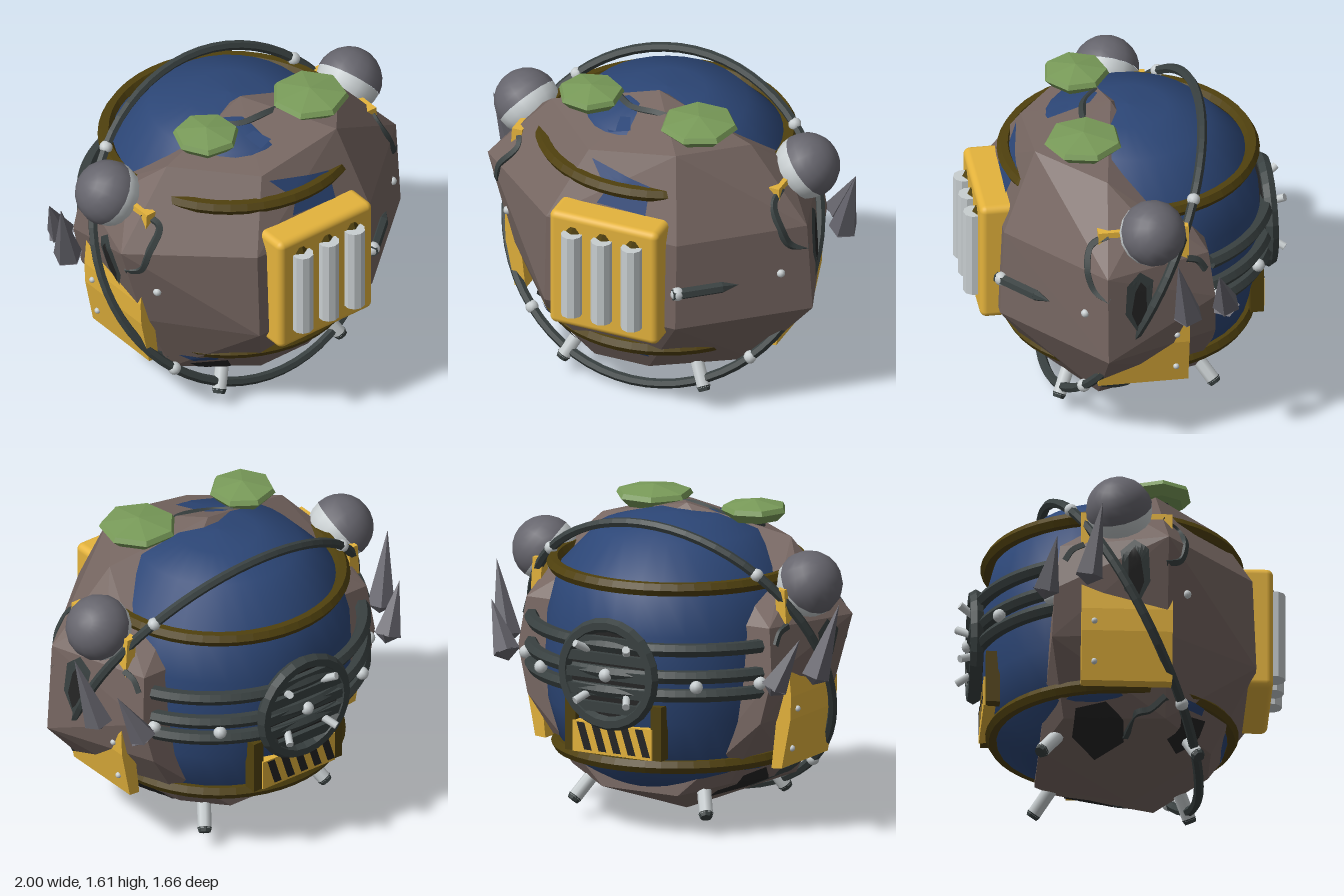
import * as THREE from 'three';
import { RoundedBoxGeometry } from 'three/addons/geometries/RoundedBoxGeometry.js';
import { ConvexGeometry } from 'three/addons/geometries/ConvexGeometry.js';

const paint = (name, color, extra = {}) => {
  const m = new THREE.MeshStandardMaterial({ color, ...extra });
  m.name = name;
  return m;
};
const V = (x, y, z) => new THREE.Vector3(x, y, z);

export function createModel() {
  const root = new THREE.Group();
  root.name = 'rockPod';
  const rock = paint('rock brown', 0x766661, { flatShading: true });
  const blue = paint('hull blue', 0x2c4676, { side: THREE.DoubleSide });
  const yellow = paint('panel yellow', 0xe4b33c);
  const ochre = paint('dark ochre', 0x50410e, { flatShading: true });
  const iron = paint('dark iron', 0x394141, { flatShading: true, side: THREE.DoubleSide });
  const white = paint('pale metal', 0xc8ced0);
  const grey = paint('dome grey', 0x66656d);
  const green = paint('cap green', 0x799b59, { flatShading: true });
  const black = paint('black', 0x252525, { side: THREE.DoubleSide });

  const add = (name, geo, mat, x = 0, y = 0, z = 0, parent = root) => {
    const m = new THREE.Mesh(geo, mat);
    m.name = name;
    m.position.set(x, y, z);
    parent.add(m);
    return m;
  };
  // Points a mesh's local +y along a direction
  const aim = (m, dir) => m.quaternion.setFromUnitVectors(V(0, 1, 0), dir.clone().normalize());
  const ball = (name, x, y, z, r = 0.03) => add(name, new THREE.SphereGeometry(r, 10, 8), white, x, y, z);
  const faceted = geo => {
    const g = geo.toNonIndexed();
    g.computeVertexNormals();
    return g;
  };

  // Blue inner body
  const profile = [[0, 0.16], [0.35, 0.19], [0.58, 0.33], [0.655, 0.6], [0.67, 0.83], [0.66, 1.05],
    [0.6, 1.28], [0.41, 1.48], [0.2, 1.54], [0, 1.555]].map(p => new THREE.Vector2(...p));
  add('innerBody', new THREE.LatheGeometry(profile, 32), blue, 0, 0, -0.04);

  // Faceted rock covering the front, sides and underside, slimmer low on its right
  const corners = [V(0, 1.58, 0.05), V(0, 0, 0.05),
    V(0.91, 0.6, 0.2), V(-0.74, 0.6, 0.2), V(0.58, 0.22, 0.2), V(-0.55, 0.22, 0.2),
    V(0.28, 1.5, 0.48), V(-0.2, 1.42, 0.48), V(0.12, 0.2, 0.45), V(-0.18, 0.2, 0.45)];
  for (const s of [1, -1]) {
    corners.push(
      V(s * 0.55, 1.45, 0.15), V(s * 0.68, 1.3, 0),
      V(s * 0.36, 1.08, 0.65), V(s * 0.88, 1.08, 0.2), V(s * 0.71, 1.09, -0.34), V(s * 0.74, 0.84, -0.37),
      V(s * 0.36, 0.6, 0.67), V(s * 0.68, 0.6, -0.38), V(s * 0.46, 0.25, -0.31), V(s * 0.22, 0.18, -0.42));
  }
  const shell = add('rockShell', new ConvexGeometry(corners), rock);

  // Drops a 2D point onto the rock from one side
  const caster = new THREE.Raycaster();
  const aims = {
    front: (a, b) => [V(a, b, 3), V(0, 0, -1)], top: (a, b) => [V(a, 3, b), V(0, -1, 0)],
    left: (a, b) => [V(3, b, a), V(-1, 0, 0)], right: (a, b) => [V(-3, b, a), V(1, 0, 0)],
  };
  const project = (side, [a, b], lift) => {
    caster.set(...aims[side](a, b));
    const hit = caster.intersectObject(shell)[0];
    return hit ? hit.point.addScaledVector(hit.face.normal, lift) : null;
  };
  // Thin patch that follows the rock surface
  const patch = (name, side, outline, mat, lift = 0.007) => {
    const edge = [], pos = [], idx = [], rings = 5;
    outline.forEach((p, i) => {
      const q = outline[(i + 1) % outline.length];
      for (let k = 0; k < 4; k++) edge.push([p[0] + (q[0] - p[0]) * k / 4, p[1] + (q[1] - p[1]) * k / 4]);
    });
    const n = edge.length;
    const c = [0, 1].map(k => edge.reduce((t, p) => t + p[k], 0) / n);
    for (let r = 0; r <= rings; r++) for (const e of edge) {
      const p = project(side, c.map((v, k) => v + (e[k] - v) * r / rings), lift);
      if (!p) return;
      pos.push(p.x, p.y, p.z);
    }
    for (let r = 0; r < rings; r++) for (let i = 0; i < n; i++) {
      const a = r * n + i, b = r * n + (i + 1) % n;
      idx.push(a, a + n, b, b, a + n, b + n);
    }
    const g = new THREE.BufferGeometry();
    g.setAttribute('position', new THREE.Float32BufferAttribute(pos, 3));
    g.setIndex(idx);
    g.computeVertexNormals();
    add(name, g, mat);
  };
  const vein = (name, side, pts) => {
    const path = pts.map(p => project(side, p, -0.01)).filter(Boolean);
    if (path.length > 2) add(name, new THREE.TubeGeometry(new THREE.CatmullRomCurve3(path), 40, 0.024, 5), iron);
  };

  // Openings showing the blue body, and dark hollows
  patch('frontGapUpper', 'front', [[-0.17, 1.39], [0.05, 1.35], [0.17, 1.33], [0.17, 1.19], [-0.1, 1.2], [-0.06, 1.27]], blue);
  patch('frontGapLower', 'front', [[-0.12, 0.34], [0.12, 0.34], [0.15, 0.3], [-0.06, 0.31]], blue);
  patch('frontGapCorner', 'front', [[-0.56, 0.34], [-0.42, 0.34], [-0.4, 0.31], [-0.5, 0.3]], blue);
  patch('topGap', 'top', [[-0.24, 0.25], [-0.07, 0.25], [-0.03, 0.34], [-0.14, 0.36]], blue);
  patch('frontHollow', 'front', [[-0.5, 0.27], [-0.36, 0.3], [-0.27, 0.16], [-0.4, 0.18]], black);
  vein('topVein', 'top', [[-0.2, 0.1], [-0.1, 0.17], [0.05, 0.2], [0.2, 0.19]]);
  for (const side of ['left', 'right']) {
    patch('hollowRim', side, [[0.03, 1.08], [0.1, 1.02], [0.11, 0.86], [0.05, 0.75], [-0.02, 0.82], [-0.04, 1.02]], iron, 0.005);
    patch('sideHollow', side, [[0.03, 1.03], [0.06, 0.98], [0.08, 0.86], [0.05, 0.78], [0, 0.84], [0, 0.99]], black, 0.012);
    patch('lowerHollow', side, [[0, 0.17], [-0.01, 0.23], [-0.1, 0.31], [-0.25, 0.29], [-0.26, 0.2], [-0.14, 0.13]], black);
    vein('sideVein', side, [[0.17, 1.25], [0.26, 1.2], [0.29, 1.08], [0.26, 0.98], [0.18, 0.95]]);
    vein('rearVein', side, [[-0.22, 1.09], [-0.28, 1.06], [-0.32, 1.0]]);
    vein('lowerVein', side, [[0.2, 0.32], [0.12, 0.26], [0.06, 0.25], [0, 0.18]]);
  }

  // Ochre hoops around the body
  for (const [y, r] of [[1.295, 0.627], [0.37, 0.603]])
    add('bodyHoop', new THREE.TorusGeometry(r, 0.037, 6, 48), ochre, 0, y, -0.04).rotation.x = Math.PI / 2;

  // Tilted orbit ring with studs
  const orbit = new THREE.Group();
  orbit.name = 'orbitRing';
  orbit.position.y = 0.81;
  orbit.rotation.x = -0.485;
  root.add(orbit);
  add('ringTube', new THREE.TorusGeometry(0.85, 0.025, 6, 64), iron, 0, 0, 0, orbit);
  for (let i = 0; i < 4; i++) {
    const a = Math.PI / 4 + i * Math.PI / 2;
    add('ringStud', new THREE.SphereGeometry(0.034, 10, 8), white, 0.85 * Math.cos(a), 0.85 * Math.sin(a), 0, orbit);
  }

  // Front panel with three ribbed tubes
  add('frontPanel', new RoundedBoxGeometry(0.6, 0.66, 0.23, 3, 0.035), yellow, 0, 0.86, 0.645);
  for (const x of [-0.165, 0, 0.165]) {
    add('panelTube', faceted(new THREE.CylinderGeometry(0.055, 0.055, 0.47, 10)), white, x, 0.86, 0.773);
    add('tubeCap', new THREE.CylinderGeometry(0.028, 0.042, 0.03, 6), ochre, x, 1.11, 0.74);
  }
  // Front rod with pointed end and stud
  const along = V(0.76, 0, -0.65).normalize();
  aim(add('frontRod', new THREE.CylinderGeometry(0.03, 0.03, 0.26, 6), iron, 0.45, 0.81, 0.6), along);
  aim(add('rodPoint', new THREE.ConeGeometry(0.03, 0.09, 6), iron, 0.583, 0.81, 0.486), along);
  ball('rodStud', 0.37, 0.81, 0.665, 0.036);

  // Rear bands, slightly wider than deep
  for (const y of [1.0, 0.86, 0.765]) {
    const arc = new THREE.TorusGeometry(0.7, 0.036, 6, 32, Math.PI * 0.7);
    arc.rotateZ(Math.PI * 0.15).rotateX(-Math.PI / 2).scale(1.07, 1, 1);
    add('rearBand', arc, iron, 0, y, -0.04);
  }
  for (const s of [1, -1]) for (const a of [0.5, 0.95])
    ball('bandStud', s * 0.78 * Math.cos(a), 0.815, -0.04 - 0.73 * Math.sin(a), 0.034);

  // Round rear vent
  add('ventRim', new THREE.TorusGeometry(0.255, 0.037, 6, 24), iron, 0, 0.85, -0.735);
  add('ventBack', new THREE.CylinderGeometry(0.25, 0.25, 0.03, 24), black, 0, 0.85, -0.715).rotation.x = Math.PI / 2;
  for (let i = -2; i <= 2; i++)
    add('ventBar', new THREE.BoxGeometry(2 * Math.sqrt(0.0625 - (i * 0.085) ** 2), 0.05, 0.03), iron, 0, 0.85 + i * 0.085, -0.745);
  ball('ventHub', 0, 0.85, -0.765, 0.035);
  for (const x of [-0.13, 0.13]) for (const y of [0.99, 0.73])
    aim(add('ventBolt', new THREE.CylinderGeometry(0.02, 0.02, 0.09, 8), white, x, y, -0.78), V(x, y - 0.85, -0.25));

  // Striped plate under the vent, with ochre straps
  add('warningPlate', new THREE.BoxGeometry(0.46, 0.16, 0.06), yellow, 0, 0.5, -0.67);
  const slant = new THREE.Shape([[0, 0], [0.045, 0], [0.09, 0.14], [0.045, 0.14]].map(p => new THREE.Vector2(...p)));
  for (let i = 0; i < 5; i++) add('warningStripe', new THREE.ShapeGeometry(slant), black, -0.225 + i * 0.085, 0.435, -0.704);
  for (const s of [1, -1]) add('plateStrap', new THREE.BoxGeometry(0.06, 0.28, 0.07), ochre, s * 0.25, 0.56, -0.655);

  for (const s of [1, -1]) {
    // Yellow side bracket, bowed outward
    const bow = [[0.66, 0.34], [0.72, 0.345], [0.77, 0.6], [0.775, 0.72], [0.755, 0.95], [0.735, 1.27], [0.68, 1.27], [0.7, 0.95], [0.7, 0.7]];
    const plate = new THREE.Shape(bow.map(([x, y]) => new THREE.Vector2(s * x, y)));
    add('sideBracket', new THREE.ExtrudeGeometry(plate, { depth: 0.46, bevelEnabled: false }), yellow, 0, 0, -0.235);
    ball('bracketScrew', s * 0.742, 0.44, -0.17, 0.016);
    ball('bracketScrew', s * 0.775, 0.65, -0.17, 0.016);
    const spot = project(s > 0 ? 'left' : 'right', [0.3, 0.83], 0);
    if (spot) ball('rockScrew', spot.x, spot.y, spot.z, 0.022);

    // Two-tone dome lamps
    const lamp = new THREE.Group();
    lamp.name = 'domeLamp';
    lamp.position.set(s * 0.77, 1.27, -0.045);
    aim(lamp, V(s * 0.75, 0.6, -0.25));
    root.add(lamp);
    add('lampShell', new THREE.SphereGeometry(0.17, 16, 6, 0, Math.PI * 2, 0, Math.PI / 2), grey, 0, 0, 0, lamp);
    add('lampBase', new THREE.SphereGeometry(0.168, 16, 6, 0, Math.PI * 2, Math.PI / 2, Math.PI / 2), white, 0, 0, 0, lamp);

    // Pointed side spikes
    for (const [x, y, z, tx, ty, tz, r] of [[0.9, 0.84, -0.21, 1, 1.21, -0.14, 0.075], [0.78, 0.81, -0.42, 0.9, 1.06, -0.365, 0.072]]) {
      const d = V(s * (tx - x), ty - y, tz - z), len = d.length();
      aim(add('sideSpike', faceted(new THREE.ConeGeometry(r, len, 5)), grey, s * (x + tx) / 2, (y + ty) / 2, (z + tz) / 2), d);
      aim(add('spikeRoot', faceted(new THREE.ConeGeometry(r, 0.05, 5)), grey, s * (x - 0.005), y - 0.022, z), d.clone().negate());
    }

    // Stub feet
    for (const [z, dz] of [[0.34, 0.35], [-0.37, -0.55]]) {
      const d = V(s * 0.4, -0.75, dz).normalize(), c = V(s * 0.35, 0.165, z);
      aim(add('foot', new THREE.CylinderGeometry(0.036, 0.036, 0.17, 8), white, c.x, c.y, c.z), d);
      const tip = c.addScaledVector(d, 0.09);
      aim(add('footTip', new THREE.CylinderGeometry(0.03, 0.038, 0.025, 8), iron, tip.x, tip.y, tip.z), d);
    }
  }

  // Mushroom caps on top
  const cap = [[0, -0.05], [0.75, -0.046], [1, 0], [0.93, 0.025], [0, 0.055]];
  for (const [x, y, z, r, turn] of [[-0.32, 1.555, 0.18, 0.17, 0.3], [0.3, 1.55, 0.235, 0.2, 0]]) {
    add('mushroomCap', new THREE.LatheGeometry(cap.map(([a, b]) => new THREE.Vector2(a * r, b)), 7), green, x, y, z).rotation.y = turn;
    add('mushroomStalk', new THREE.CylinderGeometry(0.06, 0.05, 0.12, 8), iron, x, y - 0.09, z);
  }
  return root;
}
